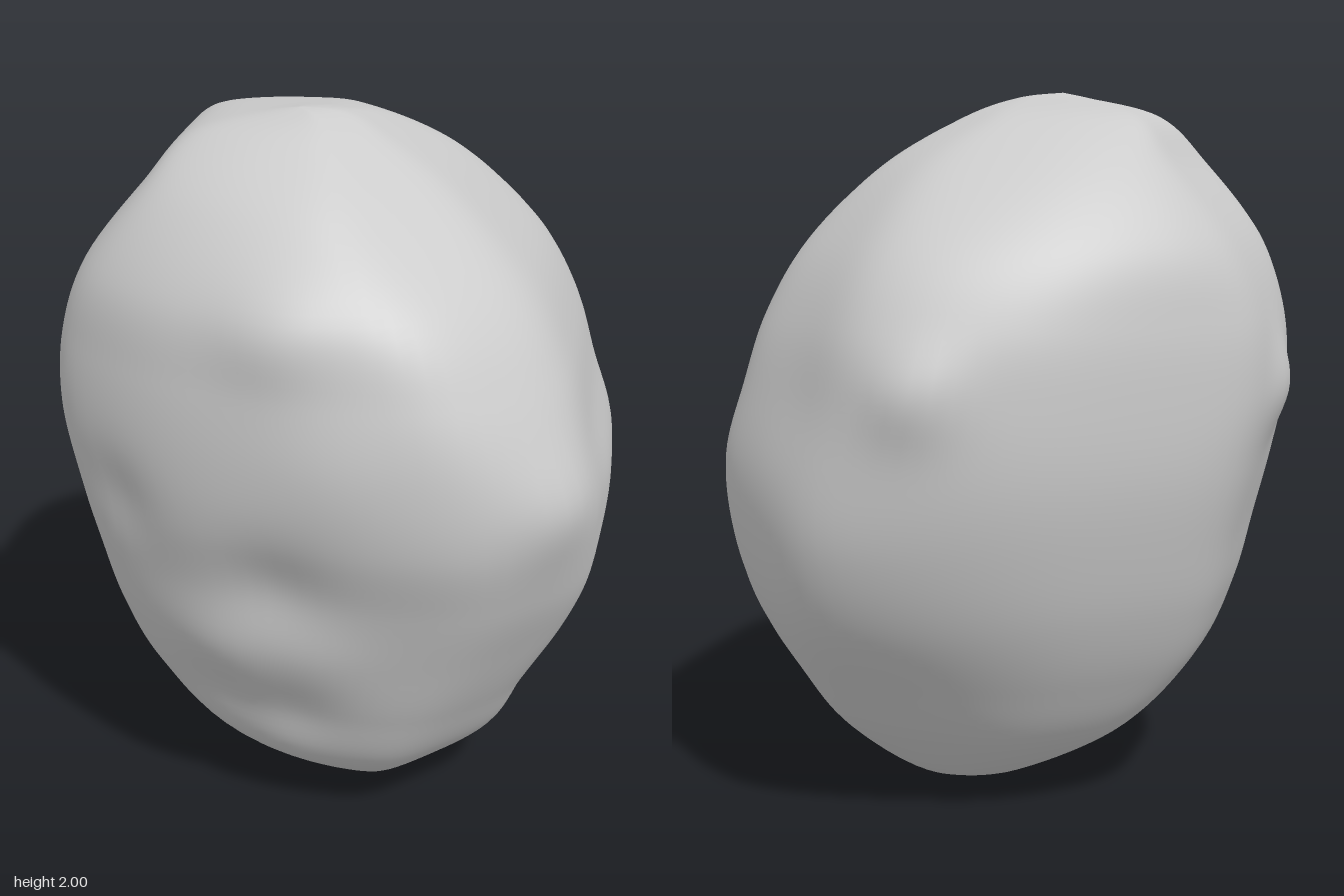
import * as THREE from 'three';
import { mergeVertices } from 'three/addons/utils/BufferGeometryUtils.js';

// Facet directions in degrees, turning from +x towards +z
const DIRS = [0, 45, 90, 112.5, 135, 180, 225, 247.5, 270, 315]
  .map((deg) => deg * Math.PI / 180)
  .map((a) => [Math.cos(a), Math.sin(a)]);
const pole = (y, x, z) => [y, ...DIRS.map(([c, s]) => x * c + z * s)];

// Each level: height, then how far the rock reaches in each facet direction
const LEVELS = [
  pole(0, 0.12, 0.1),
  [0.04, 0.23, 0.30, 0.28, 0.23, 0.18, 0.02, 0.06, 0.10, 0.15, 0.25],
  [0.20, 0.47, 0.50, 0.49, 0.47, 0.45, 0.33, 0.32, 0.34, 0.36, 0.48],
  [0.40, 0.57, 0.63, 0.59, 0.58, 0.59, 0.52, 0.47, 0.49, 0.53, 0.64],
  [0.60, 0.68, 0.74, 0.66, 0.66, 0.68, 0.61, 0.57, 0.61, 0.68, 0.75],
  [0.80, 0.75, 0.84, 0.73, 0.71, 0.74, 0.66, 0.635, 0.69, 0.77, 0.80],
  [1.00, 0.77, 0.90, 0.80, 0.77, 0.78, 0.71, 0.68, 0.74, 0.81, 0.81],
  [1.20, 0.71, 0.90, 0.82, 0.79, 0.80, 0.745, 0.695, 0.75, 0.82, 0.77],
  [1.40, 0.65, 0.83, 0.81, 0.78, 0.79, 0.73, 0.69, 0.73, 0.78, 0.70],
  [1.60, 0.54, 0.71, 0.76, 0.74, 0.75, 0.65, 0.65, 0.64, 0.66, 0.58],
  [1.80, 0.34, 0.47, 0.59, 0.60, 0.62, 0.49, 0.51, 0.46, 0.42, 0.38],
  [1.93, 0.15, 0.28, 0.39, 0.42, 0.45, 0.37, 0.33, 0.25, 0.18, 0.13],
  [1.985, 0.04, 0.17, 0.27, 0.27, 0.26, 0.16, -0.01, -0.07, -0.11, -0.08],
  pole(2, -0.08, 0.22),
];

// Swellings and hollows: x, y, z, radius, height
const BUMPS = [
  [-0.25, 0.61, 0.62, 0.15, 0.018],
  [0.02, 0.61, 0.66, 0.15, 0.018],
  [-0.28, 0.41, 0.53, 0.13, -0.02],
  [-0.05, 0.40, 0.58, 0.13, -0.02],
  [-0.08, 0.86, 0.74, 0.15, -0.03],
  [-0.52, 1.02, 0.55, 0.13, -0.02],
  [0.10, 1.22, 0.82, 0.18, 0.018],
  [-0.05, 1.59, 0.75, 0.15, 0.035],
  [0.62, 1.10, 0.62, 0.14, 0.035],
  [0.75, 0.95, 0.35, 0.16, -0.02],
  [-0.76, 1.20, 0.05, 0.12, 0.035],
  [0.02, 1.25, -0.82, 0.12, 0.04],
  [0.32, 1.15, -0.74, 0.22, -0.03],
  [0.45, 1.55, 0.50, 0.15, -0.01],
];

// Smooth blend of the level table at t (in levels)
function levelAt(t) {
  const last = LEVELS.length - 1;
  const k = Math.min(Math.floor(t), last - 1), f = t - k;
  const row = (i) => LEVELS[Math.max(0, Math.min(last, i))];
  return LEVELS[0].map((_, c) => {
    const p0 = row(k - 1)[c], p1 = row(k)[c], p2 = row(k + 1)[c], p3 = row(k + 2)[c];
    const m1 = (p2 - p0) / 2, m2 = (p3 - p1) / 2;
    return p1 + f * m1 + f * f * (3 * (p2 - p1) - 2 * m1 - m2) + f * f * f * (2 * (p1 - p2) + m1 + m2);
  });
}

function rockGeometry(rings, sides) {
  const positions = [], index = [];
  for (let j = 0; j <= rings; j++) {
    const [y, ...reach] = levelAt(j / rings * (LEVELS.length - 1));
    const cx = (reach[0] - reach[5]) / 2, cz = (reach[2] - reach[8]) / 2;
    const atPole = j === 0 || j === rings;
    const local = reach.map((h, i) => Math.max(0.005, h - cx * DIRS[i][0] - cz * DIRS[i][1]));
    for (let i = 0; i < sides; i++) {
      const a = i / sides * Math.PI * 2, c = Math.cos(a), s = Math.sin(a);
      // Rounded polygon inside the facet planes
      let sum = 0;
      local.forEach((h, n) => { sum += (Math.max(0, c * DIRS[n][0] + s * DIRS[n][1]) / h) ** 16; });
      const r = atPole ? 0 : sum ** (-1 / 16);
      let x = cx + r * c, z = cz + r * s;
      if (!atPole) {
        let d = 0;
        for (const [bx, by, bz, size, height] of BUMPS) {
          const q = (x - bx) ** 2 + (y - by) ** 2 + (z - bz) ** 2;
          d += height * Math.exp(-q / (size * size));
        }
        x += d * c;
        z += d * s;
      }
      positions.push(x, y, z);
      if (j < rings) {
        const n = (i + 1) % sides, lo = j * sides, hi = lo + sides;
        if (j > 0) index.push(lo + i, hi + i, lo + n);
        if (j < rings - 1) index.push(lo + n, hi + i, hi + n);
      }
    }
  }
  const geometry = new THREE.BufferGeometry();
  geometry.setAttribute('position', new THREE.Float32BufferAttribute(positions, 3));
  geometry.setIndex(index);
  const welded = mergeVertices(geometry, 1e-5);
  welded.computeVertexNormals();
  return welded;
}

export function createModel() {
  const group = new THREE.Group();
  group.name = 'rock';
  const boulder = new THREE.Mesh(rockGeometry(104, 96), new THREE.MeshStandardMaterial({ color: 0xcccccc }));
  boulder.name = 'boulder';
  group.add(boulder);
  return group;
}
